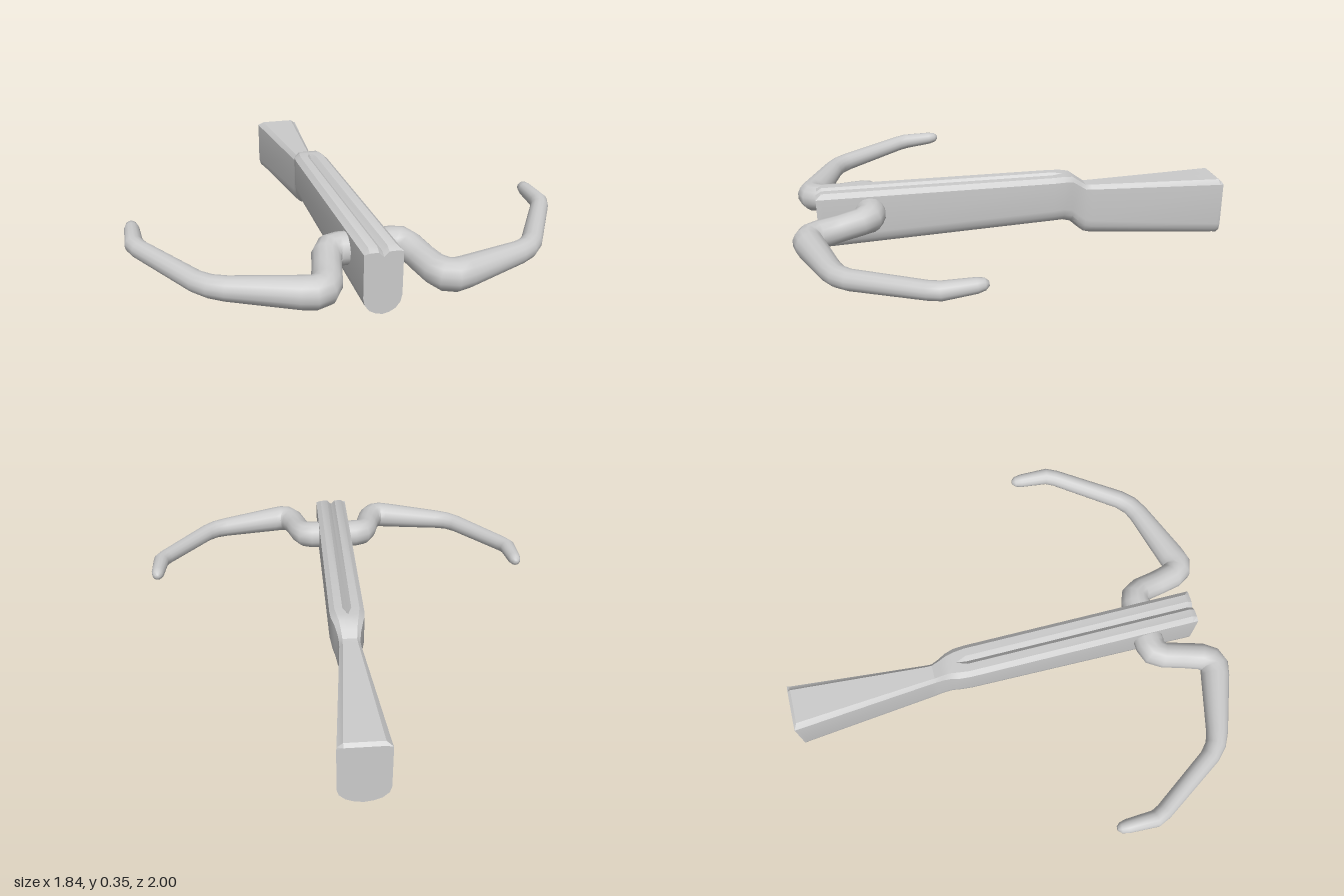
import * as THREE from 'three';
import { toCreasedNormals } from 'three/addons/utils/BufferGeometryUtils.js';

const material = new THREE.MeshStandardMaterial({ color: 0xcccccc });

// Skin a list of rings (each clockwise seen from the start) and cap both ends.
function loft(rings, crease) {
  const n = rings[0].length;
  const points = rings.flat();
  const index = [];
  for (let i = 0; i < rings.length - 1; i++) {
    for (let j = 0; j < n; j++) {
      const a = i * n + j, b = i * n + (j + 1) % n;
      index.push(a, b, a + n, b, b + n, a + n);
    }
  }
  for (const i of [0, rings.length - 1]) {
    const centre = new THREE.Vector3();
    rings[i].forEach((p) => centre.addScaledVector(p, 1 / n));
    const c = points.push(centre) - 1;
    for (let j = 0; j < n; j++) {
      const a = i * n + j, b = i * n + (j + 1) % n;
      if (i === 0) index.push(c, b, a);
      else index.push(c, a, b);
    }
  }
  const geometry = new THREE.BufferGeometry().setFromPoints(points);
  geometry.setIndex(index);
  return toCreasedNormals(geometry, crease);
}

// Stock section: bevelled top with a bolt groove, straight sides, rounded belly.
function stockRing([z, top, bottom, hw, inner, grooveW, grooveD, shoulder = top - 0.02]) {
  const half = [
    [0, top - grooveD], [grooveW, top], [inner, top], [hw, shoulder],
    [hw, bottom + 0.075], [hw * 0.92, bottom + 0.045], [hw * 0.68, bottom + 0.02],
    [hw * 0.36, bottom + 0.006], [0, bottom],
  ];
  const mirrored = half.slice(1, -1).reverse().map(([x, y]) => [-x, y]);
  return [...half, ...mirrored].map(([x, y]) => new THREE.Vector3(x, y, z));
}

// Limb: round tube of changing radius along a path of [x, y, z, radius].
function limbGeometry(path, side) {
  const pts = path.map(([x, y, z]) => new THREE.Vector3(x * side, y, z));
  const up = new THREE.Vector3(0, 1, 0);
  const rings = pts.map((p, i) => {
    const dirIn = p.clone().sub(pts[Math.max(i - 1, 0)]).normalize();
    const dirOut = pts[Math.min(i + 1, pts.length - 1)].clone().sub(p).normalize();
    const t = dirIn.add(dirOut).normalize();
    const across = t.clone().cross(up).normalize();
    const upright = across.clone().cross(t);
    const ring = [];
    for (let j = 0; j < 14; j++) {
      const a = (j / 14) * Math.PI * 2;
      ring.push(p.clone()
        .addScaledVector(upright, Math.cos(a) * path[i][3])
        .addScaledVector(across, Math.sin(a) * path[i][3]));
    }
    return ring;
  });
  return loft(rings, 1.1);
}

export function createModel() {
  const group = new THREE.Group();
  const add = (geometry, name) => {
    const mesh = new THREE.Mesh(geometry, material);
    mesh.name = name;
    group.add(mesh);
  };

  // z, top, bottom, half width, top half width, groove width, groove depth, shoulder
  const stations = [
    [0.9, 0.34, 0.08, 0.078, 0.056, 0.02, 0.02, 0.335],
    [0.875, 0.355, 0.081, 0.078, 0.056, 0.02, 0.02],
    [-0.18, 0.355, 0.123, 0.078, 0.056, 0.02, 0.02],
    [-0.23, 0.355, 0.125, 0.074, 0.05, 0.002, 0],
    [-0.27, 0.35, 0.113, 0.063, 0.042, 0.002, 0],
    [-0.305, 0.325, 0.08, 0.052, 0.036, 0.002, 0],
    [-0.34, 0.301, 0.052, 0.046, 0.032, 0.002, 0],
    [-0.37, 0.3, 0.044, 0.048, 0.033, 0.002, 0],
    [-0.985, 0.3, 0.002, 0.105, 0.08, 0.002, 0],
    [-1, 0.288, 0, 0.107, 0.08, 0.002, 0, 0.282],
  ];
  add(loft(stations.map(stockRing), 0.55), 'stock');

  // Recurved bow limb, from inside the stock out to the rounded tip
  const limbPath = [
    [0.03, 0.26, 0.668, 0.068], [0.11, 0.262, 0.668, 0.068], [0.148, 0.262, 0.678, 0.066],
    [0.172, 0.258, 0.715, 0.06], [0.192, 0.245, 0.8, 0.059], [0.215, 0.235, 0.885, 0.062],
    [0.24, 0.23, 0.922, 0.066], [0.275, 0.228, 0.934, 0.066], [0.32, 0.228, 0.922, 0.064],
    [0.58, 0.236, 0.837, 0.048], [0.635, 0.239, 0.81, 0.045], [0.68, 0.242, 0.766, 0.043],
    [0.865, 0.266, 0.485, 0.038], [0.885, 0.27, 0.44, 0.038],
    [0.886, 0.28, 0.31, 0.031], [0.886, 0.283, 0.28, 0.024], [0.886, 0.284, 0.265, 0.01],
  ];
  add(limbGeometry(limbPath, 1), 'leftLimb');
  add(limbGeometry(limbPath, -1), 'rightLimb');
  return group;
}
